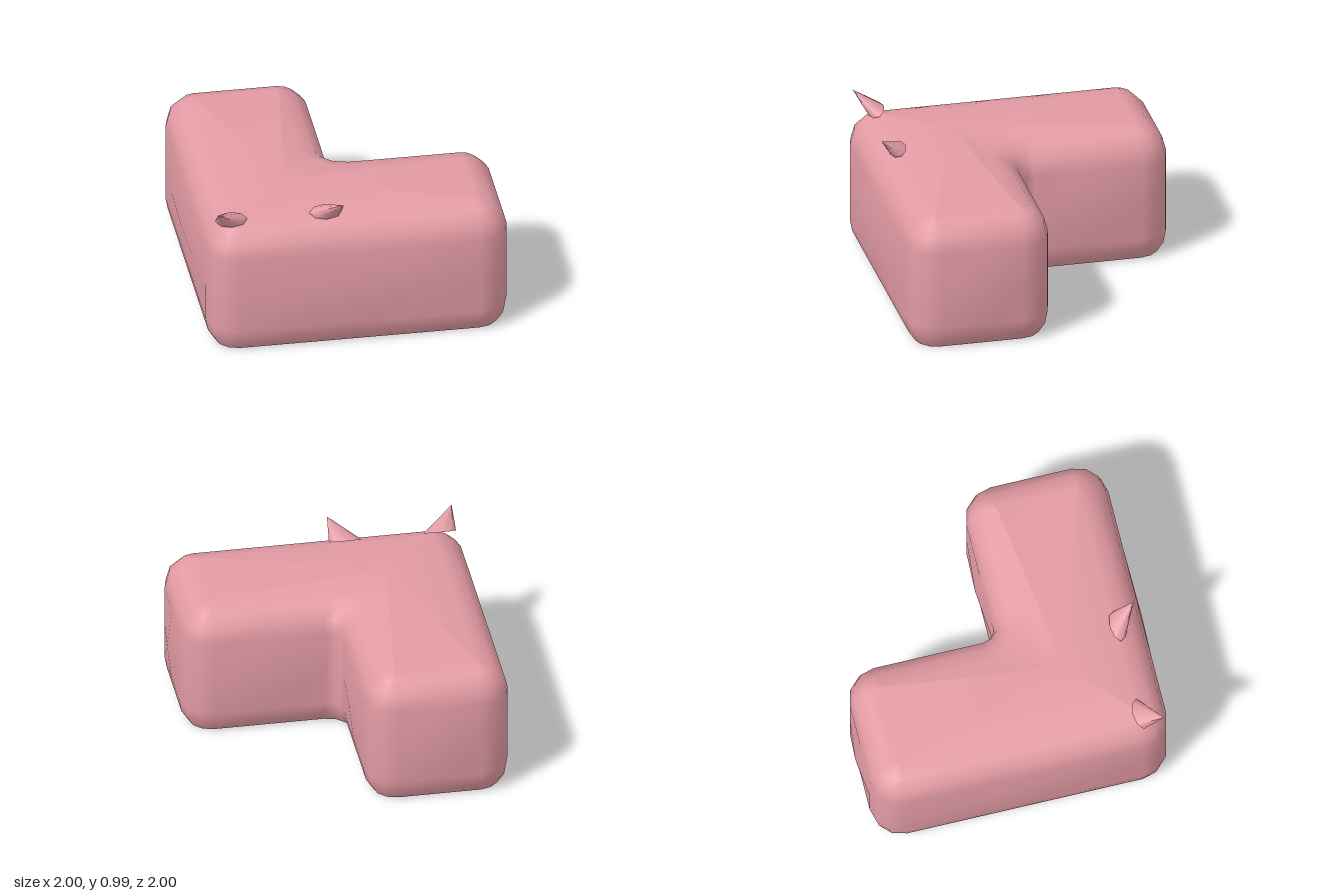
import * as THREE from 'three';

const pink = new THREE.MeshStandardMaterial({ color: 0xe39ba4, side: THREE.DoubleSide });
pink.name = 'soft pink';

// Corners of the L plan: centre x, z, start angle, turn (-1 for the inner corner), mid points on the next wall
const corners = [
  [0.77, 0.77, -90, 1, 1],
  [0.77, 0.24, 0, 1, 1],
  [0.06, -0.06, -90, -1, 1],
  [-0.24, -0.77, 0, 1, 1],
  [-0.77, -0.77, 90, 1, 3],
  [-0.77, 0.77, 180, 1, 3],
];

// Outline of the L at a given inset, with walls swelling by bulge at their middle
function outline(inset, bulge) {
  const arcs = corners.map(([x, z, start, turn]) => {
    const r = turn > 0 ? 0.2 - inset : 0.1 + inset;
    return [0, 30, 60, 90].map((step) => {
      const a = THREE.MathUtils.degToRad(start + turn * step);
      return new THREE.Vector2(x + r * Math.cos(a), z - r * Math.sin(a));
    });
  });
  return arcs.flatMap((arc, i) => {
    const [, , start, turn, mids] = corners[i];
    const a = THREE.MathUtils.degToRad(start + turn * 90);
    const out = new THREE.Vector2(Math.cos(a), -Math.sin(a)).multiplyScalar(turn);
    const next = arcs[(i + 1) % arcs.length][0];
    const pts = [...arc];
    for (let k = 1; k <= mids; k++) {
      const t = k / (mids + 1);
      pts.push(arc[3].clone().lerp(next, t).addScaledVector(out, bulge * Math.sin(Math.PI * t)));
    }
    return pts;
  });
}

// Hollow L body, open underneath: stacked outlines closed by a slightly domed top
function bodyGeometry() {
  const levels = [ // y, inset, bulge
    [0, 0.06, 0], [0.07, 0.015, 0], [0.15, 0, 0], [0.4, 0, 0.03],
    [0.67, 0, 0], [0.77, 0.027, 0], [0.843, 0.1, 0], [0.87, 0.195, 0],
  ];
  const rings = levels.map(([y, inset, bulge]) =>
    outline(inset, bulge).map((p) => new THREE.Vector3(p.x, y, p.y)));
  const peak = new THREE.Vector3(-0.4, 0.908, 0.4);
  rings.push(rings.at(-1).map((p) => p.clone().lerp(peak, 0.5)));

  const n = rings[0].length;
  const index = [];
  for (let j = 0; j < rings.length - 1; j++) {
    for (let i = 0; i < n; i++) {
      const a = j * n + i, b = j * n + (i + 1) % n;
      index.push(a, b, b + n, a, b + n, a + n);
    }
  }
  const last = (rings.length - 1) * n;
  for (let i = 0; i < n; i++) index.push(last + i, last + (i + 1) % n, rings.length * n);

  const geo = new THREE.BufferGeometry().setFromPoints([...rings.flat(), peak]);
  geo.setIndex(index);
  geo.computeVertexNormals();
  return geo;
}

// Slanted cone leaning forward and to one side
function hornGeometry(x, lean) {
  const geo = new THREE.ConeGeometry(1, 1, 8).translate(0, 0.5, 0);
  const m = new THREE.Matrix4().makeBasis(
    new THREE.Vector3(0.105, 0, 0),
    new THREE.Vector3(lean, 0.112, 0.13),
    new THREE.Vector3(0, -0.028, 0.05),
  ).setPosition(x, 0.88, 0.79);
  return geo.applyMatrix4(m);
}

export function createModel() {
  const group = new THREE.Group();
  const add = (name, geo) => {
    const mesh = new THREE.Mesh(geo, pink);
    mesh.name = name;
    group.add(mesh);
  };
  add('body', bodyGeometry());
  add('rightHorn', hornGeometry(-0.81, -0.1));
  add('leftHorn', hornGeometry(-0.2, 0.095));
  return group;
}
